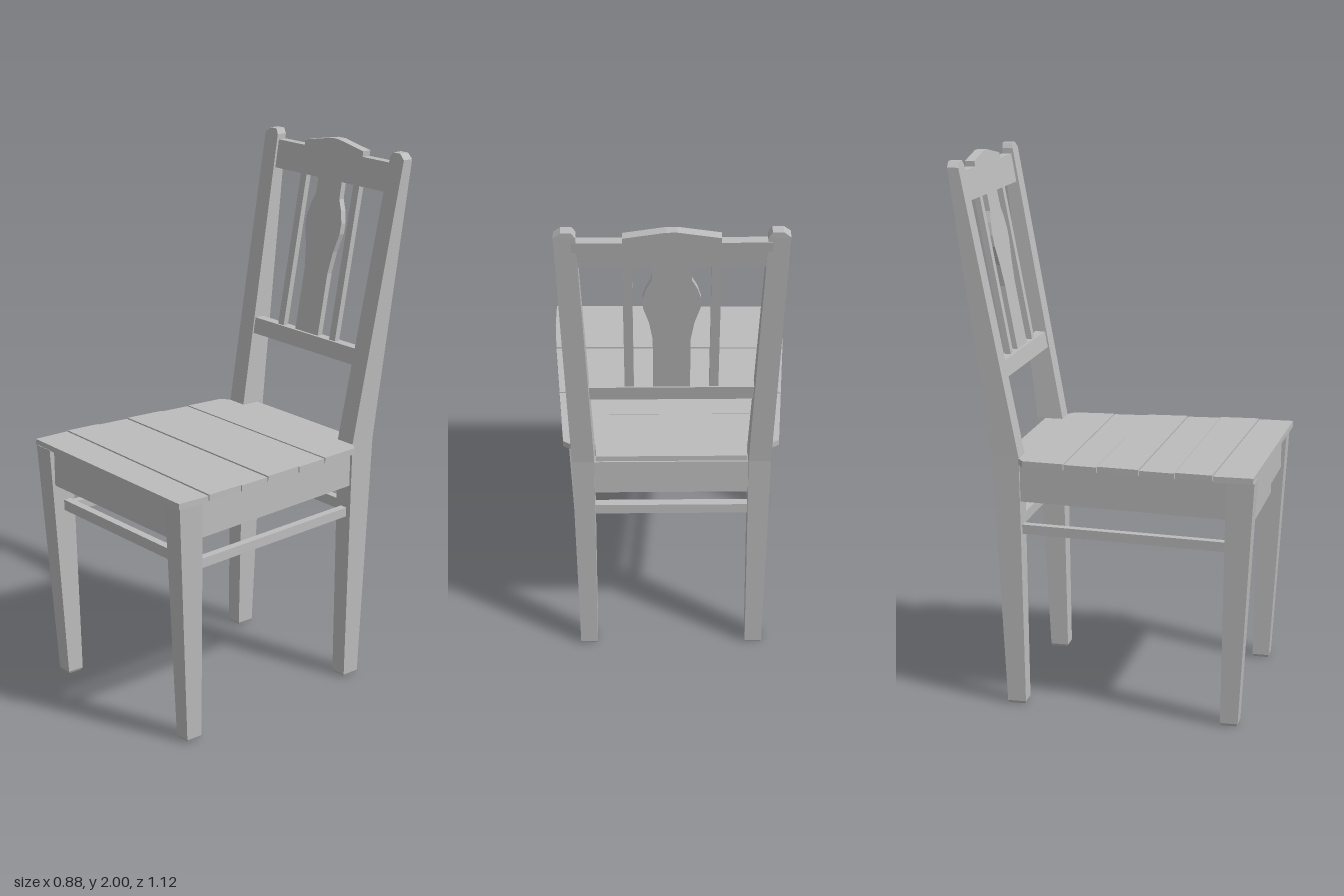
import * as THREE from 'three';

const wood = new THREE.MeshStandardMaterial({ color: 0xbcbcbc });
wood.name = 'plain grey wood';

// Tapered post with rectangular sections [y, xInner, xOuter, zBack, zFront]; side is +1 (left) or -1 (right)
function post(sections, side) {
  const pos = [], idx = [];
  for (const [y, xi, xo, zb, zf] of sections) {
    const a = side > 0 ? xi : -xo, b = side > 0 ? xo : -xi;
    pos.push(a, y, zf, b, y, zf, b, y, zb, a, y, zb);
  }
  const n = sections.length;
  for (let s = 0; s < n - 1; s++) {
    for (let k = 0; k < 4; k++) {
      const p = s * 4 + k, q = s * 4 + (k + 1) % 4;
      idx.push(p, q, q + 4, p, q + 4, p + 4);
    }
  }
  const t = (n - 1) * 4;
  idx.push(0, 2, 1, 0, 3, 2, t, t + 1, t + 2, t, t + 2, t + 3);
  const g = new THREE.BufferGeometry();
  g.setAttribute('position', new THREE.Float32BufferAttribute(pos, 3));
  g.setIndex(idx);
  const flat = g.toNonIndexed();
  flat.computeVertexNormals();
  return flat;
}

// Upright prism over a footprint of [x, z] points
function prism(points, y0, y1) {
  const shape = new THREE.Shape(points.map(([x, z]) => new THREE.Vector2(x, -z)));
  const g = new THREE.ExtrudeGeometry(shape, { depth: y1 - y0, bevelEnabled: false });
  return g.rotateX(-Math.PI / 2).translate(0, y0, 0);
}

// Straight bar between two [x, z] points
function bar(a, b, width, y0, y1) {
  const dx = b[0] - a[0], dz = b[1] - a[1], l = Math.hypot(dx, dz);
  const nx = -dz / l * width / 2, nz = dx / l * width / 2;
  return prism([[a[0] + nx, a[1] + nz], [b[0] + nx, b[1] + nz],
    [b[0] - nx, b[1] - nz], [a[0] - nx, a[1] - nz]], y0, y1);
}

// Front plane of the leaning backrest
const leanZ = (y) => -0.32 - 0.1887 * (y - 0.94);

// Panel drawn in x and y, then sheared to follow the backrest
function backPanel(points, recess, depth) {
  const shape = new THREE.Shape(points.map((p) => new THREE.Vector2(...p)));
  const g = new THREE.ExtrudeGeometry(shape, { depth, bevelEnabled: false });
  const p = g.attributes.position;
  for (let i = 0; i < p.count; i++) {
    p.setZ(i, p.getZ(i) - depth - recess + leanZ(p.getY(i)));
  }
  g.computeVertexNormals();
  return g;
}

const mirrored = (half) => [...half, ...half.map(([x, y]) => [-x, y]).reverse()];

export function createModel() {
  const chair = new THREE.Group();
  chair.name = 'chair';
  const add = (name, geometry) => {
    const mesh = new THREE.Mesh(geometry, wood);
    mesh.name = name;
    chair.add(mesh);
  };

  for (const side of [1, -1]) {
    const label = side > 0 ? 'left' : 'right';

    // Legs; the back ones continue up as backrest posts
    add(label + 'FrontLeg', post([
      [0, 0.342, 0.393, 0.435, 0.488],
      [0.01, 0.337, 0.398, 0.43, 0.494],
      [0.916, 0.348, 0.432, 0.447, 0.547],
    ], side));
    add(label + 'BackPost', post([
      [0, 0.288, 0.342, -0.37, -0.311],
      [0.01, 0.283, 0.347, -0.374, -0.306],
      [0.94, 0.275, 0.355, -0.42, -0.32],
      [1.06, 0.279, 0.358, -0.435, leanZ(1.06)],
      [1.975, 0.31, 0.382, -0.557, -0.516],
      [1.995, 0.322, 0.358, -0.559, -0.52],
    ], side));

    // Side frame
    add(label + 'Apron', bar([side * 0.325, -0.34], [side * 0.4, 0.48], 0.035, 0.775, 0.916));
    add(label + 'Stretcher', bar([side * 0.315, -0.34], [side * 0.38, 0.47], 0.03, 0.65, 0.685));

    // Narrow backrest slats
    const x0 = side * 0.13, x1 = side * 0.162;
    add(label + 'Slat', backPanel([[x0, 1.26], [x1, 1.26], [x1, 1.87], [x0, 1.87]], 0.015, 0.022));
  }

  // Front and back frame
  add('frontApron', bar([-0.37, 0.51], [0.37, 0.51], 0.035, 0.775, 0.916));
  add('frontStretcher', bar([-0.36, 0.475], [0.36, 0.475], 0.03, 0.67, 0.71));
  add('backApron', bar([-0.3, -0.375], [0.3, -0.375], 0.035, 0.775, 0.916));
  add('backStretcher', bar([-0.3, -0.355], [0.3, -0.355], 0.03, 0.655, 0.695));

  // Seat planks with slightly skewed joints: [z on the right, z on the left]
  const joints = [[-0.143, -0.141], [-0.02, -0.008], [0.135, 0.148],
    [0.265, 0.276], [0.401, 0.427], [0.546, 0.56]];
  const edgeX = (z) => Math.min(0.39 + (z + 0.3) * 0.0765, 0.442);
  const gap = 0.002;
  add('rearSeatPlank', prism([
    [-0.272, -0.387], [0.272, -0.387], [0.272, -0.321], [0.355, -0.321], [0.39, -0.298],
    [edgeX(-0.141), -0.141 - gap], [-edgeX(-0.143), -0.143 - gap],
    [-0.39, -0.298], [-0.355, -0.321], [-0.272, -0.321],
  ], 0.915, 0.938));
  for (let i = 0; i < joints.length - 1; i++) {
    const [ar, al] = joints[i], [br, bl] = joints[i + 1];
    const lift = i % 2 ? 0.001 : -0.002;
    add('seatPlank' + (i + 1), prism([
      [-edgeX(ar), ar + gap], [edgeX(al), al + gap],
      [edgeX(bl), bl - gap], [-edgeX(br), br - gap],
    ], 0.916 + lift, 0.938 + lift));
  }

  // Backrest rails and shaped splat
  add('topRail', backPanel(mirrored([
    [0.325, 1.85], [0.325, 1.955], [0.16, 1.955], [0.16, 1.975], [0.018, 2],
  ]), 0.01, 0.035));
  add('lowerRail', backPanel(mirrored([[0.295, 1.217], [0.295, 1.277]]), 0.006, 0.038));
  add('splat', backPanel(mirrored([
    [0.064, 1.26], [0.064, 1.51], [0.076, 1.59], [0.096, 1.66], [0.097, 1.7],
    [0.085, 1.745], [0.066, 1.785], [0.064, 1.87],
  ]), 0.017, 0.022));

  return chair;
}
